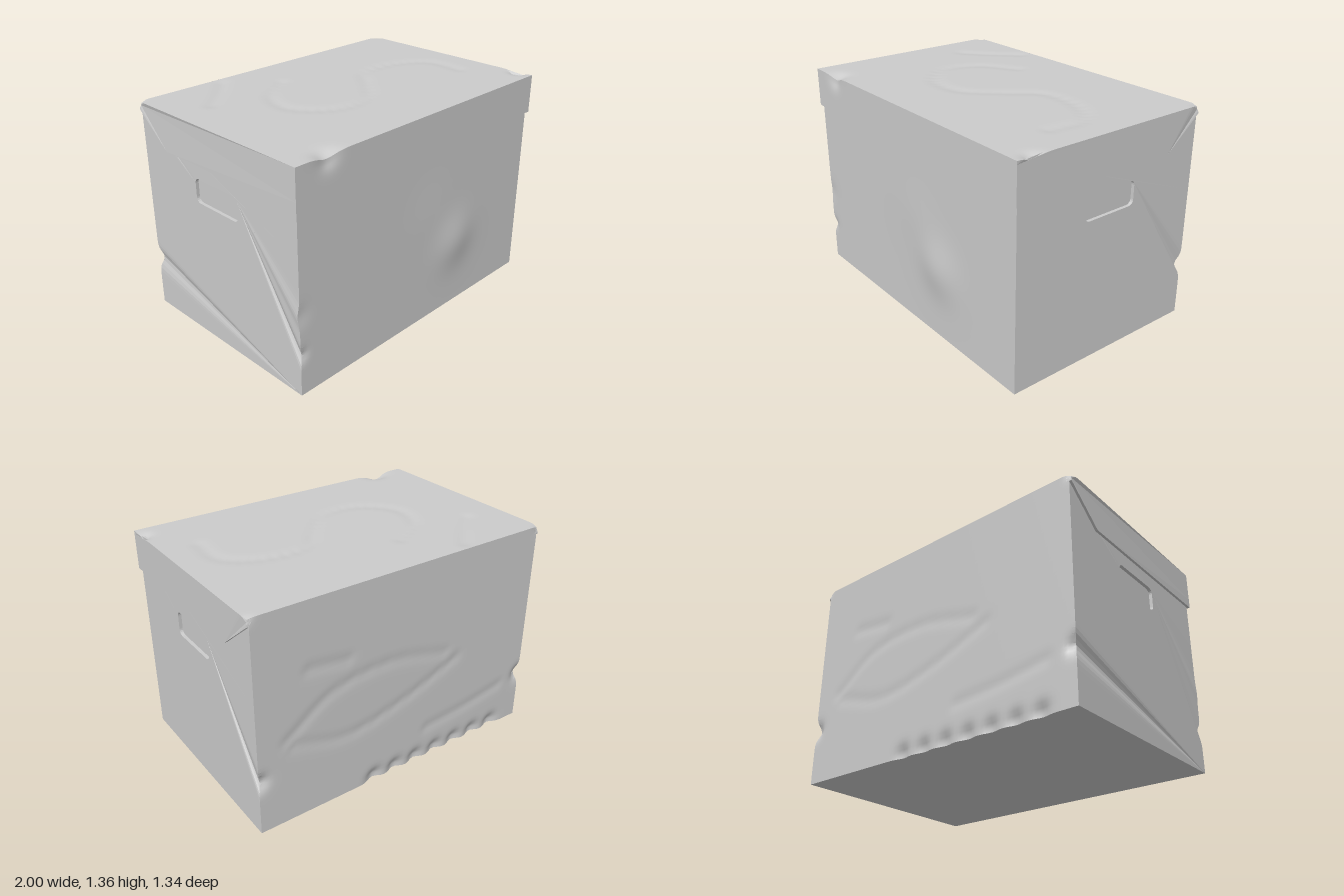
import * as THREE from 'three';

const BX = 0.985, LX = 1.0;                  // half widths of body and lid
const FRONT = 0.64, LIDF = 0.655, BACK = -0.67;
const BODY_TOP = 1.342, TOP = 1.357, FLAP = 1.115;
const V = (x, y, z) => new THREE.Vector3(x, y, z);
const mat = new THREE.MeshStandardMaterial({ color: 0xcccccc, side: THREE.DoubleSide });

// Dents and bulges: centre, radius, push. Applied alike to every part so that edges stay joined.
const dents = [
  [V(0.3, 0.45, FRONT), 0.17, V(0, 0, 0.028)],
  [V(0.1, 0.7, FRONT), 0.2, V(0, 0, 0.006)],
  [V(-BX, 0.25, FRONT), 0.04, V(0.02, 0, -0.015)],
  [V(-BX, 0.5, FRONT), 0.06, V(-0.008, 0, -0.008)],
  [V(-0.78, TOP, LIDF), 0.07, V(0, -0.03, -0.02)],
  [V(LX, TOP, 0.55), 0.05, V(-0.015, -0.025, 0)],
  [V(-BX, 0.33, BACK), 0.05, V(0.02, 0, 0.03)],
  [V(BX, 0.34, BACK), 0.05, V(-0.02, 0, 0.03)],
  [V(LX, TOP, BACK), 0.03, V(-0.01, -0.01, 0.01)],
  [V(-LX, TOP, BACK), 0.03, V(0.01, -0.01, 0.01)],
];
for (let x = 0.2; x > -0.78; x -= 0.16) dents.push([V(x, 0.02, BACK), 0.05, V(0, 0.006, 0.03)]);

function crumple(geo) {
  const p = geo.attributes.position, v = V(0, 0, 0);
  for (let i = 0; i < p.count; i++) {
    v.fromBufferAttribute(p, i);
    const q = v.clone();
    for (const [c, r, push] of dents) {
      const d = q.distanceTo(c) / r;
      if (d < 2.5) v.addScaledVector(push, Math.exp(-d * d));
    }
    p.setXYZ(i, v.x, v.y, v.z);
  }
  geo.computeVertexNormals();
  return geo;
}

// Soft folds in the card: height near a set of smooth curves
function folds(curves, height, width) {
  const pts = curves.flatMap(c =>
    new THREE.CatmullRomCurve3(c.map(([a, b]) => V(a, b, 0))).getPoints(40));
  return (a, b) => {
    let best = 9;
    for (const p of pts) best = Math.min(best, Math.hypot(a - p.x, b - p.y));
    return height * Math.exp(-((best / width) ** 2));
  };
}

// Gridded card panel; place(a, b) turns panel coordinates into a point
function panel(name, w, h, sx, sy, place) {
  const geo = new THREE.PlaneGeometry(w, h, sx, sy), p = geo.attributes.position;
  for (let i = 0; i < p.count; i++) {
    const v = place(p.getX(i), p.getY(i));
    p.setXYZ(i, v.x, v.y, v.z);
  }
  const mesh = new THREE.Mesh(crumple(geo), mat);
  mesh.name = name;
  return mesh;
}

// Upright card cut from a (z, y) outline, lying between |x| = inner and outer on side s
function sideCard(name, s, outline, inner, outer, hole) {
  const flip = ([z, y]) => new THREE.Vector2(-s * z, y);
  const shape = new THREE.Shape(outline.map(flip));
  if (hole) shape.holes.push(new THREE.Path(hole.map(flip)));
  const geo = new THREE.ExtrudeGeometry(shape, { depth: outer - inner, bevelEnabled: false });
  geo.translate(0, 0, inner).rotateY(s * Math.PI / 2);
  const mesh = new THREE.Mesh(crumple(geo), mat);
  mesh.name = name;
  return mesh;
}

// Straight run of points, without its last one
function run([z0, y0], [z1, y1], n) {
  return Array.from({ length: n }, (_, i) => [z0 + (z1 - z0) * i / n, y0 + (y1 - y0) * i / n]);
}

// Rounded outline of the hand slot
function slot(cz, cy, w, h, r) {
  const out = [];
  [[1, 1], [-1, 1], [-1, -1], [1, -1]].forEach(([a, b], k) => {
    for (let i = 0; i <= 5; i++) {
      const t = (k + i / 5) * Math.PI / 2;
      out.push([cz + a * (w / 2 - r) + r * Math.cos(t), cy + b * (h / 2 - r) + r * Math.sin(t)]);
    }
  });
  return out;
}

export function createModel() {
  const box = new THREE.Group();
  box.name = 'storageBox';
  const depth = FRONT - BACK, mid = (FRONT + BACK) / 2;
  const lidDepth = LIDF - BACK, lidMid = (LIDF + BACK) / 2;

  // Body
  const body = new THREE.Group();
  body.name = 'body';
  const backFold = folds([
    [[0.8, 0.55], [0.5, 0.75], [0.1, 0.8], [-0.3, 0.72]],
    [[0.75, 0.5], [0.4, 0.42], [0, 0.5], [-0.4, 0.65]],
    [[0.65, 0.95], [0.4, 0.92]],
    [[-0.2, 0.22], [-0.5, 0.25], [-0.8, 0.3]],
  ], 0.006, 0.035);
  body.add(
    panel('frontWall', 2 * BX, BODY_TOP, 80, 54, (a, b) => V(a, b + BODY_TOP / 2, FRONT)),
    panel('backWall', 2 * BX, TOP, 80, 54, (a, b) => {
      const y = b + TOP / 2;
      return V(-a, y, BACK + backFold(-a, y));
    }),
    panel('base', 2 * BX, depth, 80, 20, (a, b) => V(a, 0, b + mid)),
  );

  // Side walls with sunken hand slots
  const wall = [
    ...run([FRONT, 0], [BACK, 0], 1),
    ...run([BACK, 0], [BACK, BODY_TOP], 48),
    ...run([BACK, BODY_TOP], [FRONT, BODY_TOP], 1),
    ...run([FRONT, BODY_TOP], [FRONT, 0], 48),
  ];
  const hole = slot(-0.01, 0.953, 0.365, 0.15, 0.032);
  for (const s of [1, -1]) {
    const side = s > 0 ? 'left' : 'right';
    body.add(
      sideCard(side + 'Wall', s, wall, BX - 0.02, BX, hole),
      sideCard(side + 'HandSlotPanel', s, slot(-0.01, 0.953, 0.4, 0.19, 0.04), BX - 0.03, BX - 0.02),
    );
  }

  // Lid hinged along the back edge
  const lid = new THREE.Group();
  lid.name = 'lid';
  const topFold = folds([
    [[-0.2, -0.35], [-0.42, -0.2], [-0.48, 0.02], [-0.3, 0.22], [-0.05, 0.22],
      [0.15, 0.03], [0.3, -0.13], [0.6, -0.12], [0.78, 0.02], [0.78, 0.25]],
    [[-0.75, -0.32], [-0.6, -0.45], [-0.46, -0.6]],
  ], 0.007, 0.04);
  lid.add(
    panel('lidTop', 2 * LX, lidDepth, 90, 60, (a, b) => {
      const z = lidMid - b;
      return V(a, TOP - topFold(a, z), z);
    }),
    panel('lidFrontFlap', 2 * LX, TOP - FLAP, 90, 12, (a, b) => V(a, b + (TOP + FLAP) / 2, LIDF)),
    panel('lidFrontLip', 2 * LX, LIDF - FRONT, 90, 1, (a, b) => V(a, FLAP, b + (LIDF + FRONT) / 2)),
  );

  // Side flaps, cut away toward the hinge
  const flap = [
    ...run([LIDF, FLAP], [-0.43, FLAP], 1),
    ...run([-0.43, FLAP], [BACK, 1.31], 1),
    ...run([BACK, 1.31], [BACK, TOP], 3),
    ...run([BACK, TOP], [LIDF, TOP], 60),
    ...run([LIDF, TOP], [LIDF, FLAP], 12),
  ];
  for (const s of [1, -1])
    lid.add(sideCard(s > 0 ? 'lidLeftFlap' : 'lidRightFlap', s, flap, BX, LX));

  box.add(body, lid);
  return box;
}
